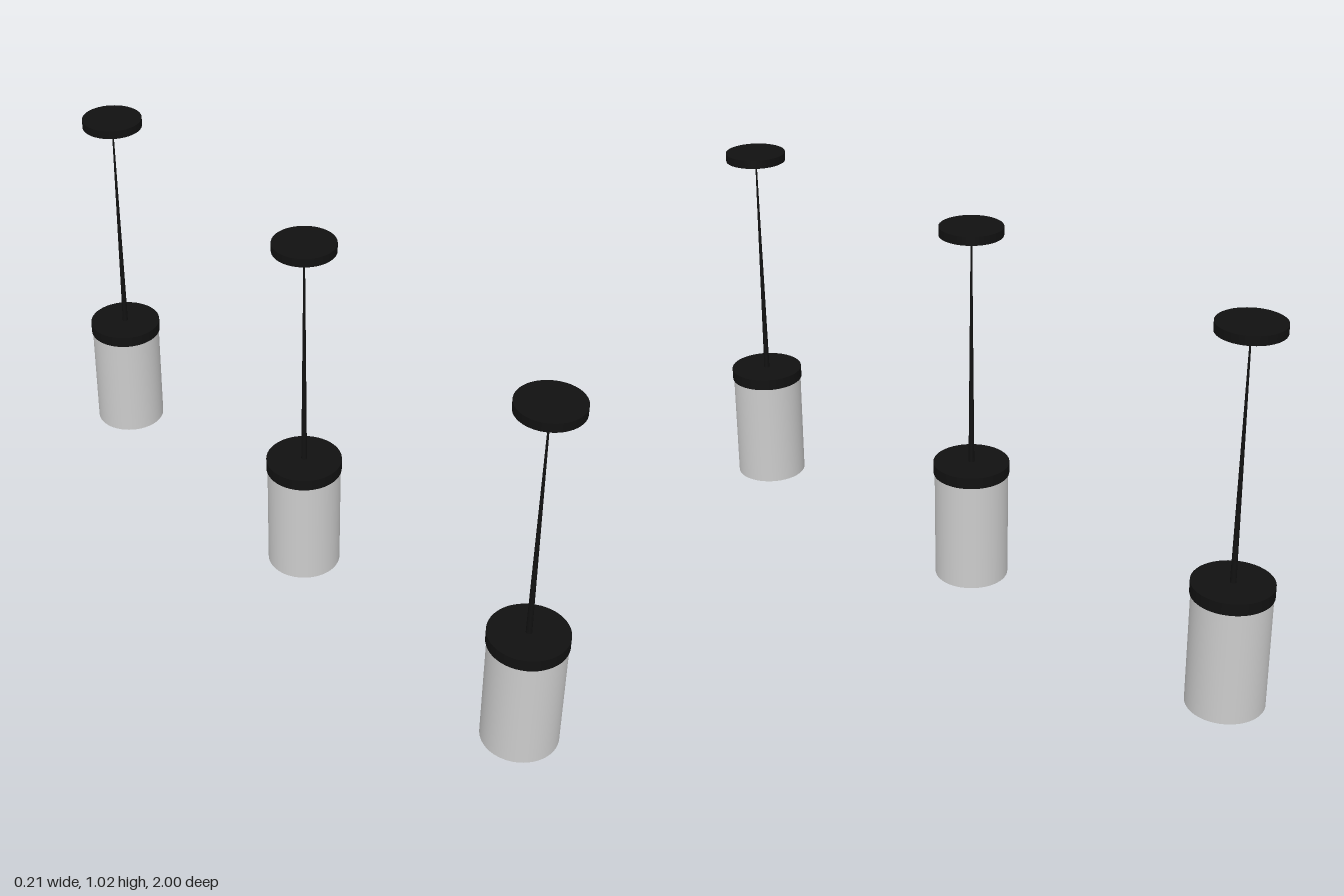
import * as THREE from 'three';

const black = new THREE.MeshStandardMaterial({ color: 0x111111 });
const glass = new THREE.MeshStandardMaterial({ color: 0xcccccc, side: THREE.DoubleSide });

// Upright cylinder spanning y0 to y1
function cylinder(name, rTop, rBottom, y0, y1, material, segments = 48, open = false) {
  const geometry = new THREE.CylinderGeometry(rTop, rBottom, y1 - y0, segments, 1, open);
  const mesh = new THREE.Mesh(geometry, material);
  mesh.name = name;
  mesh.position.y = (y0 + y1) / 2;
  return mesh;
}

function createPendant() {
  const pendant = new THREE.Group();
  pendant.name = 'pendantLamp';
  pendant.add(
    // Thin tube, open at the bottom
    cylinder('shade', 0.101, 0.101, 0, 0.32, glass, 48, true),
    cylinder('shadeCap', 0.104, 0.104, 0.311, 0.343, black),
    // Stem narrows towards the ceiling
    cylinder('stem', 0.002, 0.008, 0.34, 1.0, black, 16),
    cylinder('ceilingCanopy', 0.085, 0.085, 0.998, 1.022, black)
  );
  return pendant;
}

export function createModel() {
  const model = new THREE.Group();
  model.name = 'pendantLamps';
  // Row of three lamps from back to front
  for (const z of [-0.896, 0.004, 0.896]) {
    const pendant = createPendant();
    pendant.position.z = z;
    model.add(pendant);
  }
  return model;
}
